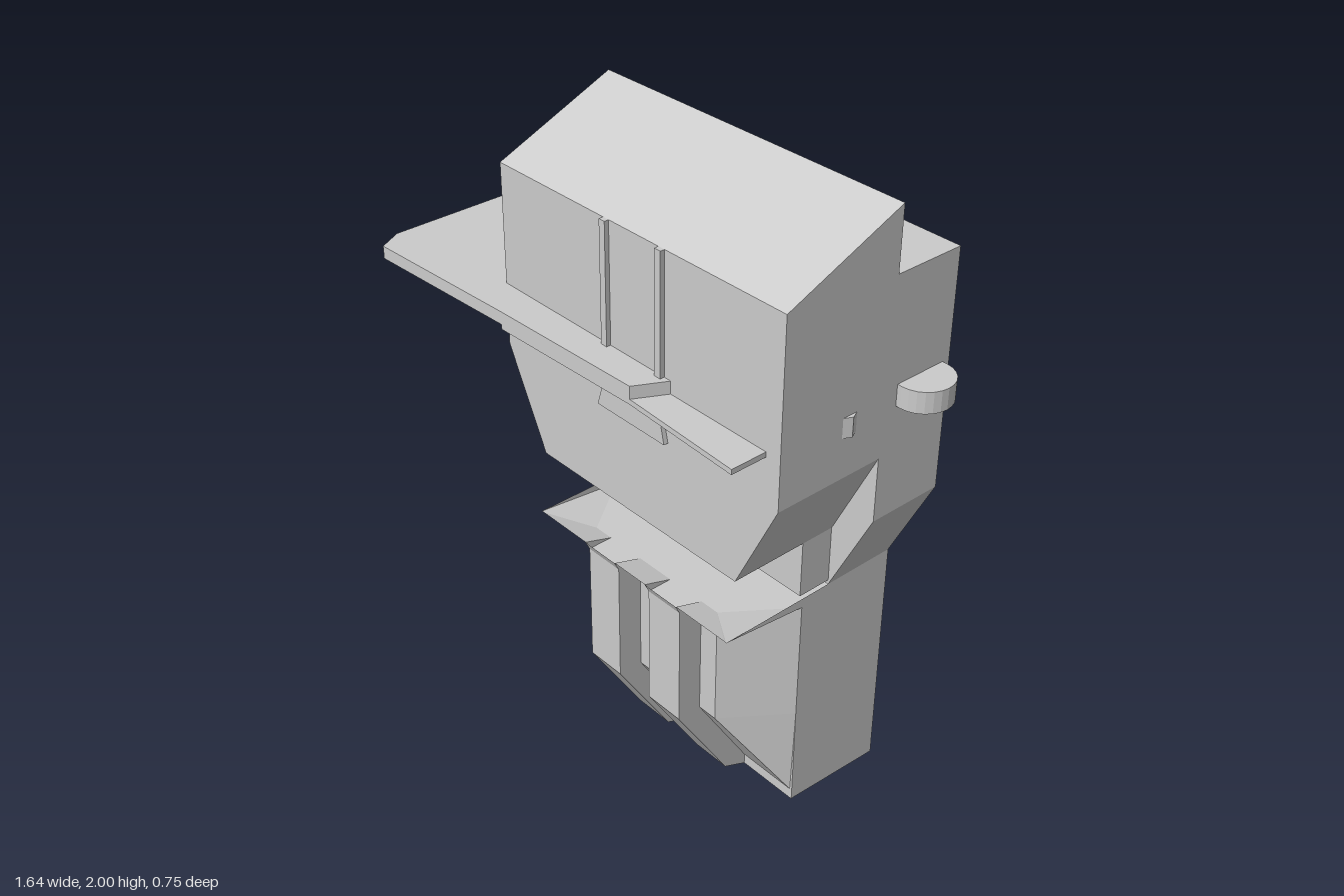
import * as THREE from 'three';

const CX = 0.1775; // centre line of the cabinet and pedestal
const mat = new THREE.MeshStandardMaterial({ color: 0xcccccc, flatShading: true, side: THREE.DoubleSide });

function add(group, name, geo) {
  const mesh = new THREE.Mesh(geo, mat);
  mesh.name = name;
  group.add(mesh);
  return mesh;
}

const toShape = (pts) => new THREE.Shape(pts.map(([a, b]) => new THREE.Vector2(a, b)));
const extrude = (pts, depth) =>
  new THREE.ExtrudeGeometry(toShape(pts), { depth, bevelEnabled: false, curveSegments: 12 });

// (x, y) outline pushed from z0 to z1
const alongZ = (pts, z0, z1) => extrude(pts, z1 - z0).translate(0, 0, z0);
// (z, y) outline pushed from x0 to x1
const alongX = (pts, x0, x1) => extrude(pts, x1 - x0).rotateY(-Math.PI / 2).translate(x1, 0, 0);
// (x, z) outline pushed from y0 to y1
const alongY = (pts, y0, y1) => extrude(pts, y1 - y0).rotateX(Math.PI / 2).translate(0, y1, 0);

const box = (x0, x1, y0, y1, z0, z1) =>
  new THREE.BoxGeometry(x1 - x0, y1 - y0, z1 - z0).translate((x0 + x1) / 2, (y0 + y1) / 2, (z0 + z1) / 2);

// Pedestal cross-section: back corners, side corners, front floor and two ribs
function section([y, floorZ, half, ribZ, cornerZ]) {
  const rightHalf = [
    [0.065, floorZ], [0.065, ribZ], [0.195, ribZ], [0.195, floorZ],
    [half, floorZ], [0.3975, cornerZ], [0.3975, -0.365],
  ];
  const leftHalf = rightHalf.map(([x, z]) => [-x, z]).reverse();
  return [...leftHalf, ...rightHalf].map(([x, z]) => [CX + x, y, z]);
}

// Joins cross-sections with quads and closes the two chosen levels
function loft(rings, capLevels) {
  const n = rings[0].length, pos = rings.flat(2), idx = [];
  for (let r = 0; r < rings.length - 1; r++) {
    for (let i = 0; i < n; i++) {
      const a = r * n + i, b = r * n + (i + 1) % n;
      idx.push(a, b, b + n, a, b + n, a + n);
    }
  }
  for (const [r, up] of capLevels) {
    const pts = rings[r].map(([x, , z]) => new THREE.Vector2(x, z));
    for (const [a, b, c] of THREE.ShapeUtils.triangulateShape(pts, [])) {
      const clockwise = THREE.ShapeUtils.area([pts[a], pts[b], pts[c]]) < 0;
      const t = clockwise === up ? [a, b, c] : [a, c, b];
      idx.push(...t.map((i) => i + r * n));
    }
  }
  const geo = new THREE.BufferGeometry();
  geo.setAttribute('position', new THREE.Float32BufferAttribute(pos, 3));
  geo.setIndex(idx);
  const flat = geo.toNonIndexed();
  flat.computeVertexNormals();
  return flat;
}

export function createModel() {
  const model = new THREE.Group();
  model.name = 'machine';

  // Upper cabinet with sloping lid and a step at the back
  add(model, 'cabinet', alongX([
    [0.24, 1.28], [0.24, 1.84], [-0.14, 2.0], [-0.14, 1.81], [-0.365, 1.81], [-0.365, 1.28],
  ], -0.37, 0.72));

  // Tapered lower halves of the cabinet: front one ends higher than the back one
  add(model, 'cabinetFrontTaper', alongZ([
    [-0.37, 1.28], [-0.22, 0.98], [0.575, 0.98], [0.72, 1.28],
  ], -0.12, 0.24));
  add(model, 'cabinetBackTaper', alongZ([
    [-0.37, 1.28], [-0.37, 1.08], [-0.22, 0.785], [0.575, 0.785], [0.72, 1.08], [0.72, 1.28],
  ], -0.365, -0.12));
  add(model, 'neck', box(-0.22, 0.575, 0.8, 0.98, -0.12, -0.01));
  add(model, 'neckStrip', box(-0.065, 0.365, 0.94, 0.98, -0.01, 0.02));

  // Chamfered access panel on the back
  add(model, 'backPanel', alongZ([
    [-0.225, 0.8], [0.575, 0.8], [0.575, 1.52], [0.49, 1.655], [-0.14, 1.655], [-0.225, 1.52],
  ], -0.377, -0.364));

  // Pedestal with ribs, flaring into a shallow tray at the top
  add(model, 'pedestal', loft([
    [0.025, -0.02, 0.39, -0.019, -0.021],
    [0.06, -0.02, 0.39, 0.06, -0.021],
    [0.365, 0.17, 0.26, 0.25, -0.02],
    [0.755, 0.17, 0.26, 0.25, -0.02],
    [0.785, 0.264, 0.39, 0.265, 0.265],
  ].map(section), [[0, false], [3, true]]));
  for (const [x0, x1] of [[-0.22, -0.04], [0.395, 0.575]]) {
    add(model, 'foot', alongX([[-0.02, 0.025], [-0.365, 0.025], [-0.365, 0.003]], x0, x1));
  }

  // Side table running through the cabinet, with a thin lower extension
  add(model, 'table', alongY([
    [-0.82, 0.3], [-0.78, 0.375], [-0.25, 0.35], [0.27, 0.335], [0.325, 0.23],
    [-0.3, 0.2], [-0.3, -0.343], [-0.78, -0.36], [-0.82, -0.29],
  ], 1.435, 1.475));
  add(model, 'tableExtension', alongY([
    [-0.25, 0.35], [0.27, 0.335], [0.67, 0.355], [0.67, 0.23], [-0.25, 0.23],
  ], 1.42, 1.436));
  for (const z of [-0.255, -0.165, 0.0, 0.19]) {
    add(model, 'tableTab', new THREE.CylinderGeometry(0.03, 0.03, 0.008, 12).translate(-0.37, 1.478, z));
  }

  // Front guide: two rails joined by a flared foot
  add(model, 'frontGuide', alongZ([
    [0.06, 1.84], [0.06, 1.345], [0.04, 1.28], [0.31, 1.28], [0.295, 1.345], [0.295, 1.84],
    [0.272, 1.84], [0.272, 1.345], [0.082, 1.345], [0.082, 1.84],
  ], 0.238, 0.254));

  // Rounded side handle and small button
  const handle = [[0.71, -0.34]];
  for (let i = 0; i <= 12; i++) {
    const a = -Math.PI / 2 + (i / 12) * Math.PI;
    handle.push([0.735 + 0.083 * Math.cos(a), -0.255 + 0.085 * Math.sin(a)]);
  }
  handle.push([0.71, -0.17]);
  add(model, 'sideHandle', alongY(handle, 1.42, 1.485));
  add(model, 'sideButton', alongY([[0.715, -0.035], [0.732, 0], [0.715, 0.035]], 1.405, 1.465));

  return model;
}
